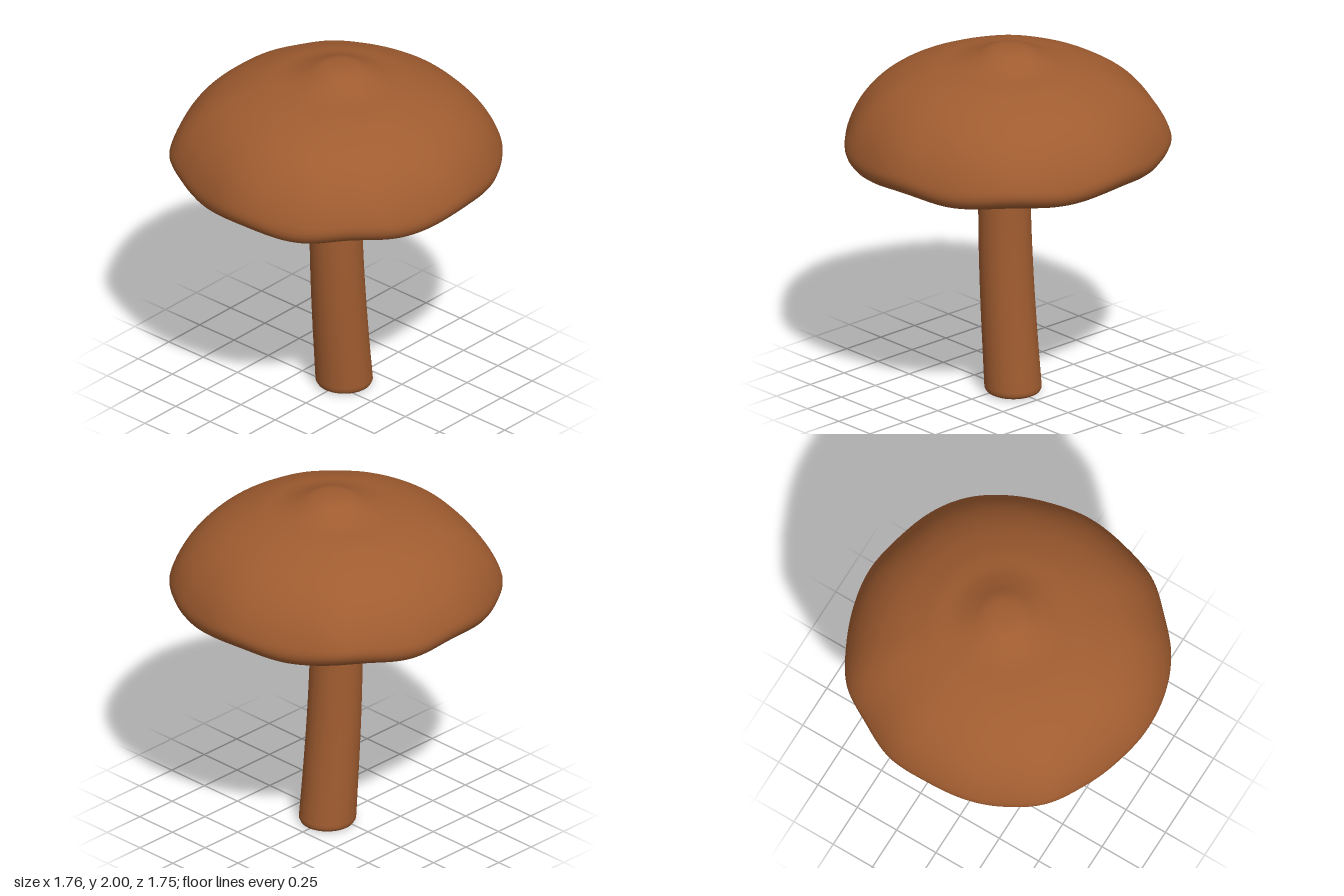
import * as THREE from 'three';
import { mergeVertices } from 'three/addons/utils/BufferGeometryUtils.js';

const brown = new THREE.MeshStandardMaterial({ color: 0xa05c30 });
brown.name = 'mushroom brown';

// Rim radius every 15 degrees, from +x towards +z
const RIM = [0.88, 0.88, 0.895, 0.90, 0.89, 0.875, 0.875, 0.875, 0.885, 0.87, 0.885, 0.885,
  0.88, 0.868, 0.88, 0.908, 0.895, 0.888, 0.88, 0.89, 0.88, 0.90, 0.88, 0.875];

function rimRadius(angle) {
  const n = RIM.length;
  const t = ((angle / (2 * Math.PI)) * n + n) % n;
  const i = Math.floor(t), f = t - i;
  const at = (k) => RIM[(i + k + n) % n];
  const a = at(-1), b = at(0), c = at(1), d = at(2);
  return b + 0.5 * f * (c - a + f * (2 * a - 5 * b + 4 * c - d + f * (3 * (b - c) + d - a)));
}

function smoothProfile(points, samples) {
  const curve = new THREE.CatmullRomCurve3(points.map(([r, y]) => new THREE.Vector3(r, y, 0)), false, 'centripetal');
  return curve.getSpacedPoints(samples).map((p) => new THREE.Vector2(Math.max(p.x, 0), p.y));
}

// Turns a profile, moves each vertex by a rule, then welds the seam for smooth normals
function turned(name, points, samples, sides, rule) {
  let geo = new THREE.LatheGeometry(smoothProfile(points, samples), sides);
  const pos = geo.attributes.position, v = new THREE.Vector3();
  for (let i = 0; i < pos.count; i++) {
    v.fromBufferAttribute(pos, i);
    rule(v);
    pos.setXYZ(i, v.x, v.y, v.z);
  }
  geo.deleteAttribute('uv');
  geo.deleteAttribute('normal');
  geo = mergeVertices(geo, 1e-5);
  geo.computeVertexNormals();
  const mesh = new THREE.Mesh(geo, brown);
  mesh.name = name;
  return mesh;
}

export function createModel() {
  const group = new THREE.Group();
  group.name = 'mushroom';

  // Domed cap with a lobed, wavy rim and a small off-centre knob
  group.add(turned('cap', [
    [0, 1.292], [0.12, 1.294], [0.25, 1.30], [0.5, 1.322], [0.7, 1.345], [0.8, 1.36],
    [0.855, 1.39], [0.88, 1.44], [0.865, 1.51], [0.81, 1.62], [0.72, 1.725], [0.6, 1.81],
    [0.42, 1.885], [0.27, 1.92], [0.18, 1.955], [0.11, 1.988], [0.05, 1.999], [0, 2],
  ], 80, 216, (v) => {
    const r = Math.hypot(v.x, v.z), angle = Math.atan2(v.z, v.x);
    const out = Math.min(r / 0.88, 1);
    const scale = 1 + (rimRadius(angle) / 0.88 - 1) * out;
    // rim waves, fading towards the crown
    const low = THREE.MathUtils.clamp((1.75 - v.y) / 0.35, 0, 1);
    const wave = Math.pow(out, 4) * low;
    v.y += wave * (0.013 * Math.cos(8 * angle + 0.6) + 0.01 * Math.cos(angle + 0.6));
    // fine gills around the stem
    if (v.y < 1.34 && r > 0.1 && r < 0.42) {
      v.y += 0.003 * Math.sin(54 * angle) * Math.sin((Math.PI * (r - 0.1)) / 0.32);
    }
    const knob = THREE.MathUtils.smoothstep(v.y, 1.85, 1.97) * 0.025;
    v.x = v.x * scale + knob;
    v.z *= scale;
  }));

  // Stem, leaning gently and flaring where it meets the cap
  const lean = (y) => 0.062 - 0.072 * Math.sin(Math.min(y / 1.2, 1) * Math.PI / 2);
  group.add(turned('stem', [
    [0, 0], [0.08, 0.0], [0.138, 0.003], [0.154, 0.02], [0.155, 0.06], [0.153, 0.2], [0.148, 0.6],
    [0.144, 0.95], [0.141, 1.15], [0.136, 1.21], [0.132, 1.25], [0.14, 1.28], [0.17, 1.298], [0.2, 1.31],
  ], 80, 64, (v) => { v.x += lean(v.y); }));

  return group;
}
